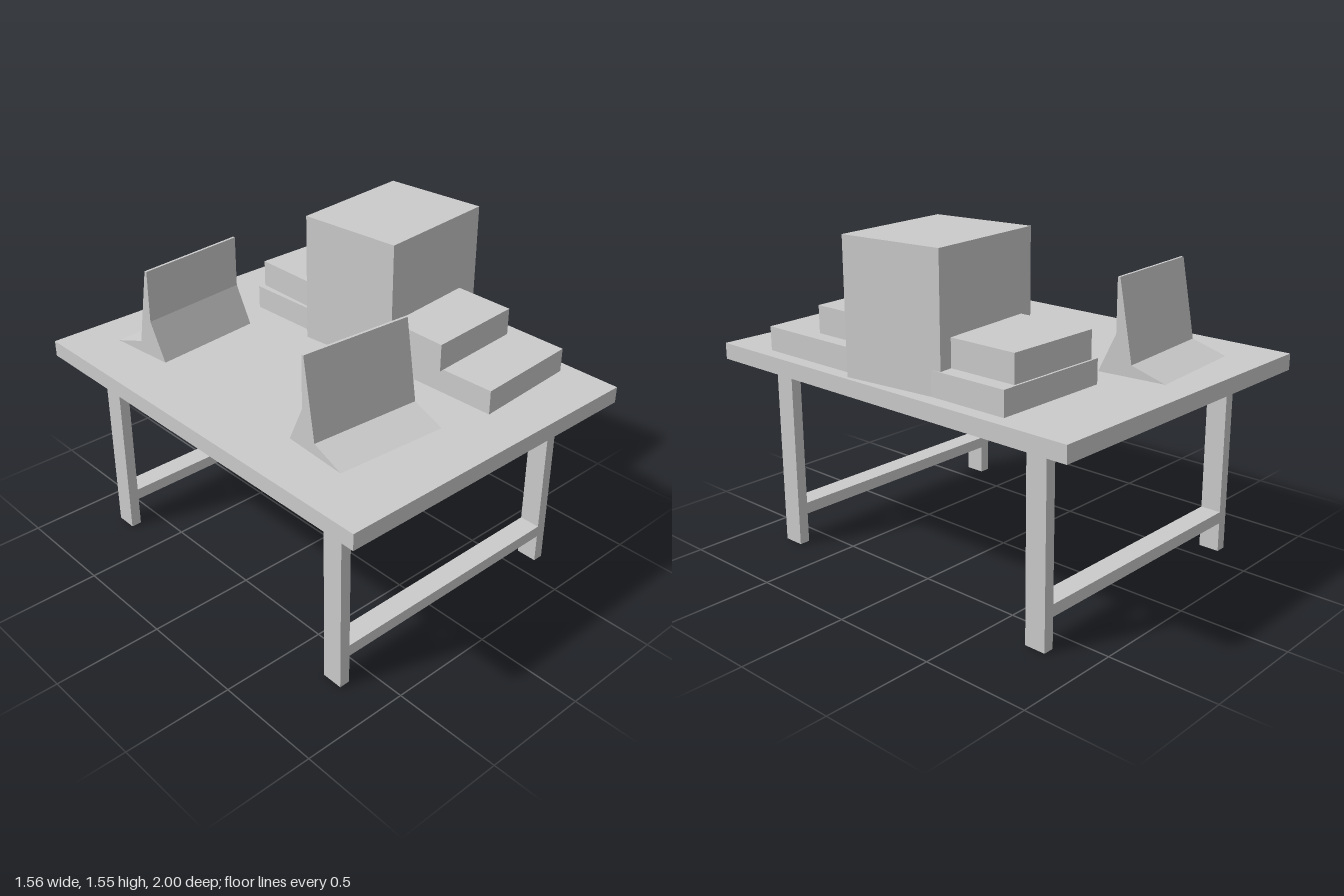
import * as THREE from 'three';

const grey = new THREE.MeshStandardMaterial({ color: 0xcccccc, flatShading: true });

function add(parent, name, geometry, x = 0, y = 0, z = 0, turn = 0) {
  const mesh = new THREE.Mesh(geometry, grey);
  mesh.name = name;
  mesh.position.set(x, y, z);
  mesh.rotation.y = turn;
  parent.add(mesh);
  return mesh;
}

const extrude = (points, depth) => new THREE.ExtrudeGeometry(
  new THREE.Shape(points.map(([a, b]) => new THREE.Vector2(a, b))),
  { depth, bevelEnabled: false });

// Upright block over a plan outline given as [x, z] corners
const block = (plan, height) =>
  extrude(plan.map(([x, z]) => [x, -z]), height).rotateX(-Math.PI / 2);

// Bar along x with a side outline given as [z, y] corners
const bar = (side, width) =>
  extrude(side, width).translate(0, 0, -width / 2).rotateY(-Math.PI / 2);

export function createModel() {
  const model = new THREE.Group();
  model.name = 'deskWithItems';
  const top = 0.955;

  // Table
  const table = new THREE.Group();
  table.name = 'table';
  model.add(table);
  add(table, 'tableTop', new THREE.BoxGeometry(1.56, 0.075, 2), 0, 0.9175, 0);
  for (const sz of [-1, 1]) {
    for (const sx of [-1, 1]) {
      add(table, 'leg', new THREE.BoxGeometry(0.05, 0.88, 0.1), sx * 0.625, 0.44, sz * 0.75);
    }
    add(table, 'stretcher', new THREE.BoxGeometry(1.2, 0.055, 0.1), 0, 0.168, sz * 0.75);
  }

  // Stepped stack with a large box across its middle
  add(model, 'lowerSlab', block(
    [[0.15, -0.645], [0.715, -0.645], [0.715, 0.745], [0.2, 0.78]], 0.11), 0, top, 0);
  add(model, 'upperSlab', block(
    [[0.18, -0.635], [0.645, -0.635], [0.645, 0.49], [0.17, 0.525]], 0.125), 0, top + 0.11, 0);
  add(model, 'largeBox', new THREE.BoxGeometry(0.603, 0.595, 0.497), 0.435, top + 0.2975, -0.034, 0.1);

  // Upright screens with a sloping foot, facing outwards at both ends
  const screen = bar([
    [0.162, 0], [0, 0.053], [-0.065, 0.415], [-0.077, 0.415], [-0.077, 0.175], [-0.16, 0],
  ], 0.528);
  add(model, 'frontScreen', screen, -0.277, top, 0.543, -0.066);
  add(model, 'backScreen', screen, -0.277, top, -0.67, Math.PI + 0.09);

  return model;
}
